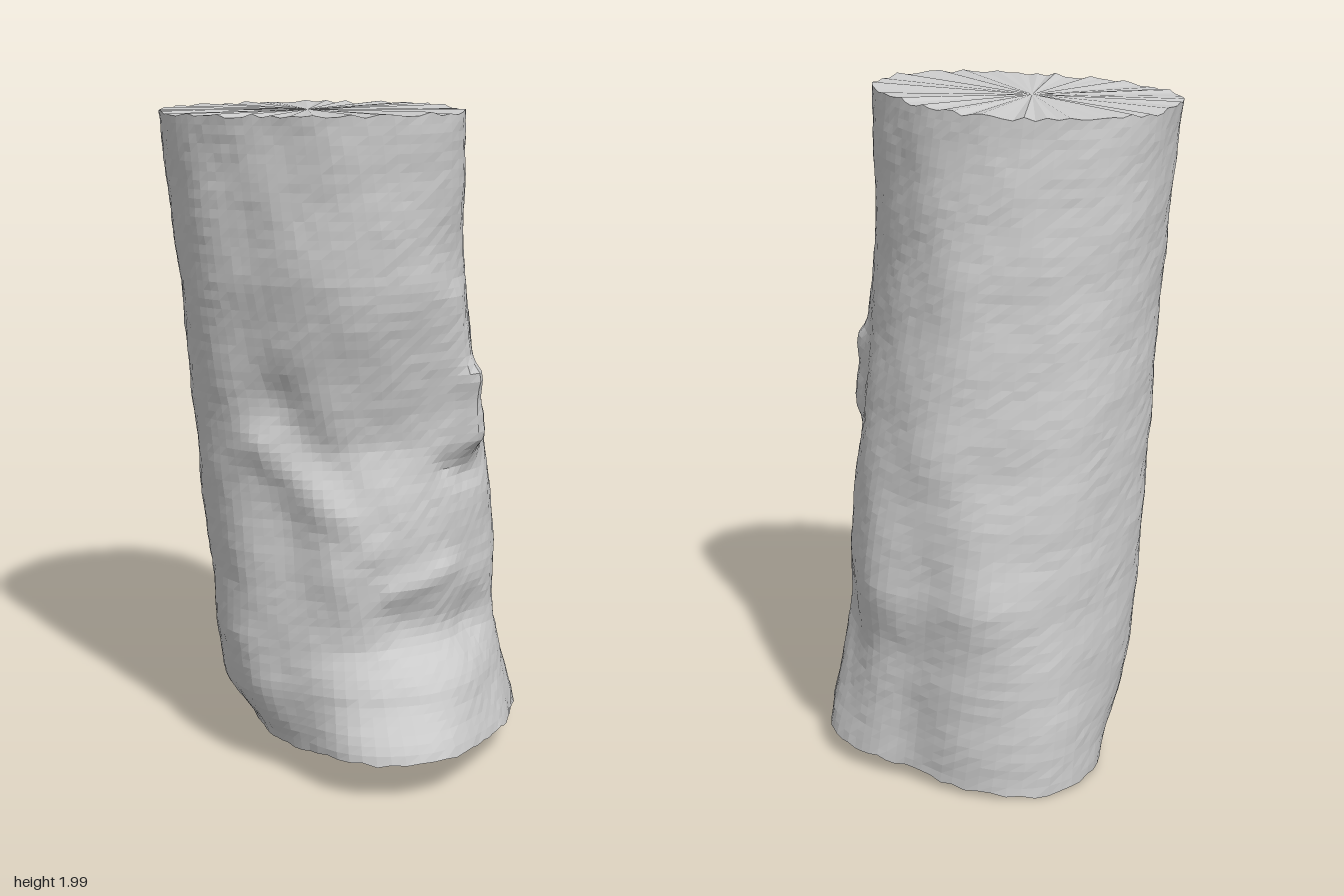
import * as THREE from 'three';

// Cross-sections from hem to top: [height 0..1], 16 radii from +x round to +z (front), -x, -z
const SECTIONS = [
  [0.00, [.415, .39, .41, .46, .565, .56, .47, .43, .41, .43, .47, .54, .565, .48, .40, .41]],
  [0.09, [.39, .38, .38, .43, .475, .49, .47, .48, .49, .49, .50, .53, .56, .50, .41, .40]],
  [0.17, [.37, .37, .35, .38, .40, .43, .45, .48, .49, .49, .51, .525, .545, .51, .42, .41]],
  [0.28, [.41, .39, .37, .38, .40, .435, .42, .46, .47, .48, .50, .51, .53, .53, .45, .46]],
  [0.38, [.42, .40, .38, .385, .405, .42, .39, .44, .47, .475, .49, .495, .515, .50, .46, .455]],
  [0.49, [.42, .40, .41, .37, .36, .375, .385, .43, .455, .46, .475, .48, .50, .47, .475, .44]],
  [0.75, [.40, .41, .45, .475, .465, .435, .405, .425, .43, .44, .44, .45, .455, .45, .45, .42]],
  [1.00, [.415, .455, .52, .51, .455, .39, .375, .39, .41, .43, .425, .435, .43, .43, .41, .41]],
];

// Creases on the front: [x1, y1, x2, y2, width, depth], positive is a ridge
const FOLDS = [
  [-.28, 1.15, -.05, .76, .08, -.02],
  [-.30, 1.02, -.02, .72, .06, .025],
  [.24, 1.45, .29, 1.2, .04, .015],
  [.29, 1.2, .32, 1.02, .04, .035],
  [.24, .93, .32, .90, .05, -.025],
  [.05, .57, .22, .62, .045, .02],
  [.08, .46, .30, .44, .08, -.03],
  [-.36, .40, -.28, .16, .05, .015],
];

const AROUND = 84, UP = 72;

// Smooth interpolation through four values
function cubic(a, b, c, d, t) {
  return b + 0.5 * t * (c - a + t * (2 * a - 5 * b + 4 * c - d + t * (3 * (b - c) + d - a)));
}

function ringRadius(radii, angle) {
  const u = (angle / (Math.PI * 2)) * 16, i = Math.floor(u);
  const at = (k) => radii[(k + 16) % 16];
  return cubic(at(i - 1), at(i), at(i + 1), at(i + 2), u - i);
}

function radiusAt(angle, t) {
  const last = SECTIONS.length - 1;
  let i = 0;
  while (i < last - 1 && t > SECTIONS[i + 1][0]) i++;
  const f = (t - SECTIONS[i][0]) / (SECTIONS[i + 1][0] - SECTIONS[i][0]);
  const ring = (k) => ringRadius(SECTIONS[THREE.MathUtils.clamp(k, 0, last)][1], angle);
  return THREE.MathUtils.lerp(
    THREE.MathUtils.lerp(ring(i), ring(i + 1), f),
    THREE.MathUtils.lerp(ring(i), ring(i + 1), THREE.MathUtils.smoothstep(f, 0, 1)), 0.5);
}

function foldOffset(x, y) {
  let sum = 0;
  for (const [x1, y1, x2, y2, width, depth] of FOLDS) {
    const dx = x2 - x1, dy = y2 - y1;
    const k = THREE.MathUtils.clamp(((x - x1) * dx + (y - y1) * dy) / (dx * dx + dy * dy), 0, 1);
    const d = Math.hypot(x - x1 - k * dx, y - y1 - k * dy) / width;
    sum += depth * Math.exp(-d * d);
  }
  return sum;
}

// Repeatable small roughness, -1..1
function rough(i, j) {
  const s = Math.sin((i % AROUND) * 12.99 + j * 78.23) * 43758.55;
  return (s - Math.floor(s)) * 2 - 1;
}

function clothPoint(i, j) {
  const angle = ((i % AROUND) / AROUND) * Math.PI * 2, t = j / UP;
  const cx = 0.13 - 0.26 * t;
  let r = radiusAt(angle, t);
  const x = cx + r * Math.cos(angle);
  const front = THREE.MathUtils.smoothstep(Math.sin(angle), 0, 0.45);
  r += front * foldOffset(x, 0.08 + 1.9 * t);
  r += 0.003 * Math.sin(angle * 7 + t * 13) * Math.sin(t * 37 - angle * 3) + 0.0015 * rough(i, j);
  const z = r * Math.sin(angle);
  // Both ends slope, with slightly ragged rims
  const ragged = (j === 0 || j === UP) ? 0.007 * rough(i, j + 3) : 0;
  const y = THREE.MathUtils.lerp(0.075 + 0.11 * z, 1.968 + 0.055 * z, t) + ragged;
  return [cx + r * Math.cos(angle), THREE.MathUtils.clamp(y, 0, 2), z];
}

function build(name, positions, index, material) {
  const geometry = new THREE.BufferGeometry();
  geometry.setAttribute('position', new THREE.Float32BufferAttribute(positions, 3));
  geometry.setIndex(index);
  geometry.computeVertexNormals();
  const mesh = new THREE.Mesh(geometry, material);
  mesh.name = name;
  return mesh;
}

// Fan closing one end of the tube
function makeCap(name, j, material) {
  const positions = [], index = [], mid = [0, 0, 0];
  for (let i = 0; i < AROUND; i++) {
    const p = clothPoint(i, j);
    positions.push(...p);
    p.forEach((v, k) => { mid[k] += v / AROUND; });
    const n = (i + 1) % AROUND;
    if (j === UP) index.push(AROUND, n, i);
    else index.push(AROUND, i, n);
  }
  positions.push(...mid);
  return build(name, positions, index, material);
}

export function createModel() {
  const group = new THREE.Group();
  group.name = 'clothLeg';
  const material = new THREE.MeshStandardMaterial({ color: 0xcccccc, flatShading: true });

  // Creased cloth tube
  const positions = [], index = [];
  for (let j = 0; j <= UP; j++) {
    for (let i = 0; i < AROUND; i++) {
      positions.push(...clothPoint(i, j));
      if (j === UP) continue;
      const a = j * AROUND + i, b = j * AROUND + ((i + 1) % AROUND);
      index.push(a, a + AROUND, b, b, a + AROUND, b + AROUND);
    }
  }
  group.add(build('creasedCloth', positions, index, material));

  // Closed ends
  group.add(makeCap('topEnd', UP, material));
  group.add(makeCap('hemEnd', 0, material));
  return group;
}
